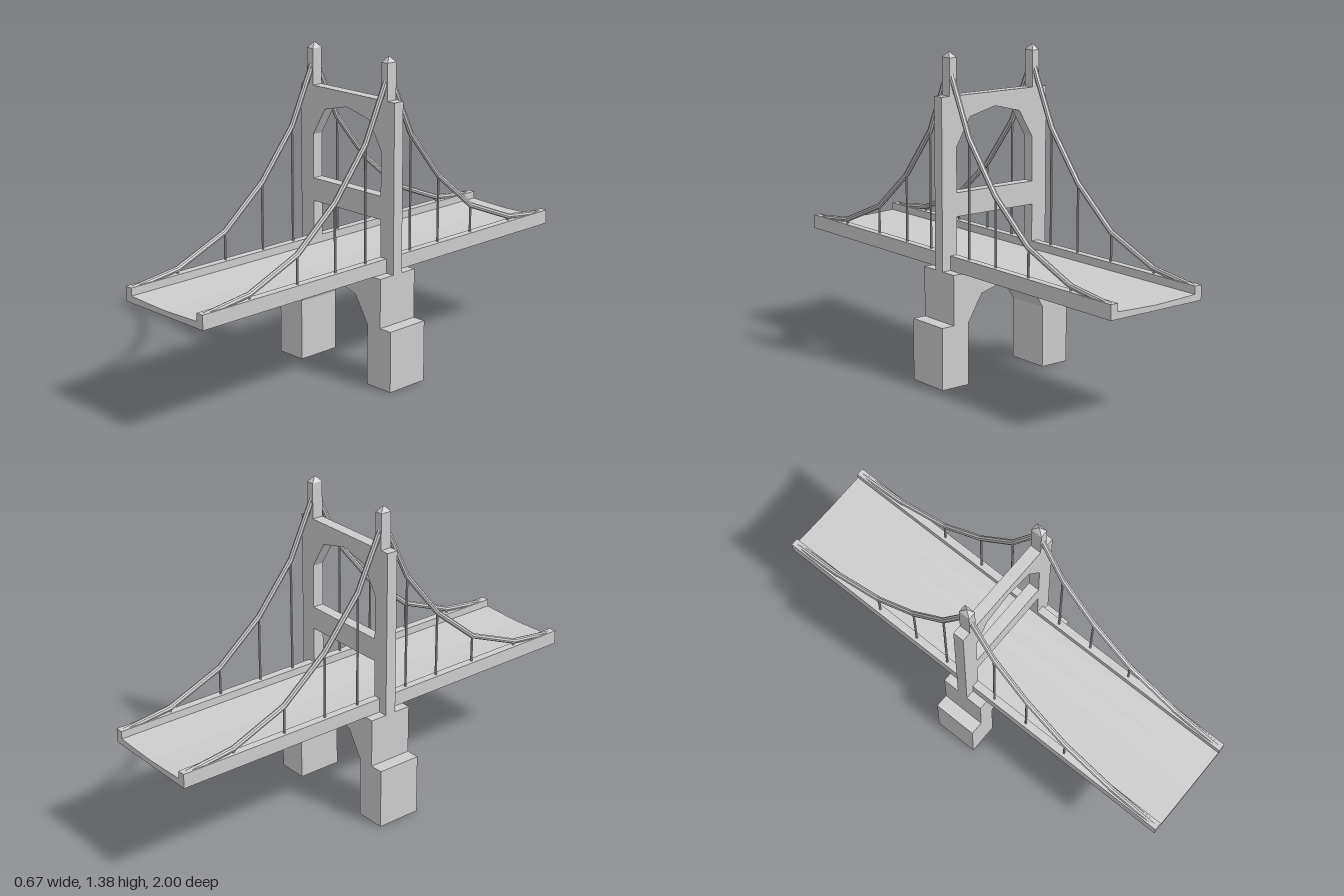
import * as THREE from 'three';

const stone = new THREE.MeshStandardMaterial({ color: 0xcccccc, flatShading: true });
stone.name = 'pale grey';

function add(parent, name, geometry, x = 0, y = 0, z = 0) {
  const mesh = new THREE.Mesh(geometry, stone);
  mesh.name = name;
  mesh.position.set(x, y, z);
  parent.add(mesh);
  return mesh;
}

const toPoints = (pts) => pts.map(([x, y]) => new THREE.Vector2(x, y));

// Outline (with optional holes) extruded symmetrically along z
function slab(outline, depth, holes = []) {
  const shape = new THREE.Shape(toPoints(outline));
  for (const h of holes) shape.holes.push(new THREE.Path(toPoints(h)));
  const g = new THREE.ExtrudeGeometry(shape, { depth, bevelEnabled: false });
  return g.translate(0, 0, -depth / 2);
}

// Closed outline from its right half, listed bottom to top
const mirrored = (half) => [...half, ...half.filter(([x]) => x > 0).reverse().map(([x, y]) => [-x, y])];

// Mitred faceted tube through [z, y] points: each ring of a cylinder moves to one point
function cableGeometry(path, radius) {
  const n = path.length - 1;
  const g = new THREE.CylinderGeometry(radius, radius, 1, 8, n);
  const pos = g.attributes.position;
  for (let i = 0; i < pos.count; i++) {
    const k = Math.round((pos.getY(i) + 0.5) * n);
    const a = path[Math.max(k - 1, 0)], b = path[Math.min(k + 1, n)];
    const dz = b[0] - a[0], dy = b[1] - a[1], len = Math.hypot(dz, dy);
    const off = pos.getZ(i);
    pos.setXYZ(i, pos.getX(i), path[k][1] - off * dz / len, path[k][0] + off * dy / len);
  }
  g.computeVertexNormals();
  return g;
}

export function createModel() {
  const bridge = new THREE.Group();
  bridge.name = 'suspensionBridge';

  // Deck with raised curbs and a shallow dished roadway
  add(bridge, 'deck', slab(mirrored([
    [0.235, 0.478], [0.235, 0.54], [0.2, 0.54], [0.2, 0.507], [0.1, 0.503], [0, 0.5],
  ]), 2));

  // Arched pier under the deck, stepped out at the feet
  add(bridge, 'pier', slab([
    [0.2, 0], [0.335, 0], [0.335, 0.265], [0.275, 0.265], [0.275, 0.478],
    [-0.275, 0.478], [-0.275, 0.265], [-0.335, 0.265], [-0.335, 0], [-0.2, 0],
    [-0.2, 0.265], [-0.13, 0.38], [0, 0.415], [0.13, 0.38], [0.2, 0.265],
  ], 0.2));

  // Tower portal: open below the cross beam, arched opening above it
  add(bridge, 'towerPortal', slab([
    [0.2, 0.478], [0.275, 0.478], [0.275, 1.2], [-0.275, 1.2], [-0.275, 0.478],
    [-0.2, 0.478], [-0.2, 0.7], [0.2, 0.7],
  ], 0.05, [
    mirrored([[0.2, 0.8], [0.2, 0.99], [0.13, 1.108], [0, 1.14]]),
  ]));

  // Finials above the tower legs
  for (const side of [1, -1]) {
    const x = side * 0.2175;
    add(bridge, 'finialPost', new THREE.BoxGeometry(0.035, 0.165, 0.05), x, 1.2725, 0);
    const cap = new THREE.ConeGeometry(Math.SQRT1_2, 0.025, 4).rotateY(Math.PI / 4).scale(0.035, 1, 0.05);
    add(bridge, 'finialCap', cap, x, 1.3675, 0);
  }

  // Main cables and hangers, repeated on both sides and both ends
  const path = [[0, 1.315], [0.13, 1.04], [0.3, 0.83], [0.505, 0.66], [0.755, 0.558], [0.98, 0.529]];
  const cable = cableGeometry(path, 0.012);
  for (const end of [0, 1]) {
    const span = new THREE.Group();
    span.name = end ? 'backCables' : 'frontCables';
    span.rotation.y = end * Math.PI;
    for (const x of [0.2175, -0.2175]) {
      add(span, 'mainCable', cable, x);
      for (const [z, y] of path.slice(1, 5)) {
        const h = y - 0.53;
        add(span, 'hanger', new THREE.CylinderGeometry(0.005, 0.005, h, 8), x, 0.53 + h / 2, z);
      }
    }
    bridge.add(span);
  }

  return bridge;
}
